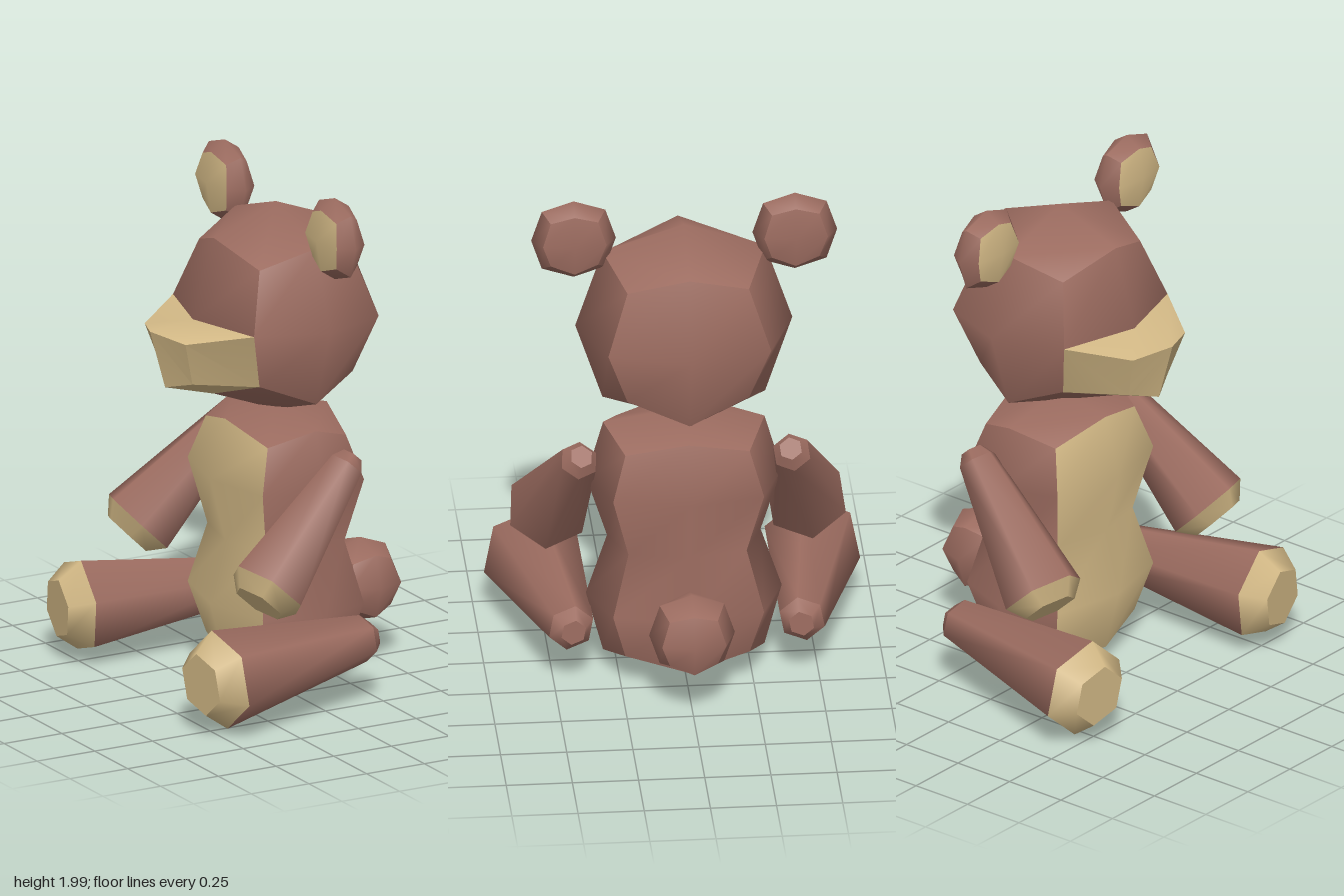
import * as THREE from 'three';
import { mergeGeometries, toCreasedNormals } from 'three/addons/utils/BufferGeometryUtils.js';

const brown = new THREE.MeshStandardMaterial({ color: 0x9c6c60 });
brown.name = 'brown fur';
const tan = new THREE.MeshStandardMaterial({ color: 0xd3b986 });
tan.name = 'tan fur';
const tanFront = [brown, tan, brown, brown, brown, brown]; // the -x side is tan

function add(parent, name, geometry, material) {
  const mesh = new THREE.Mesh(geometry, material);
  mesh.name = name;
  parent.add(mesh);
  return mesh;
}

// Box whose vertices are moved by a rule; the six sides stay separate, so box edges stay sharp
function shapedBox(ySegments, rule) {
  const geo = new THREE.BoxGeometry(2, 2, 2, 2, ySegments, 2);
  const pos = geo.attributes.position;
  for (let i = 0; i < pos.count; i++) {
    pos.setXYZ(i, ...rule(Math.round(pos.getX(i)), pos.getY(i), Math.round(pos.getZ(i))));
  }
  geo.computeVertexNormals();
  return geo;
}

// Low-poly ball: box corners and edge middles are pulled in
function ball(rx, ry, rz) {
  return shapedBox(2, (x, y, z) => {
    const k = [0, 1, 0.75, 0.56][Math.abs(x) + Math.abs(y) + Math.abs(z)];
    return [x * rx * k, y * ry * k, z * rz * k];
  });
}

// Hourglass torso
function torso() {
  const heights = [0, 0.33, 0.57, 0.82, 0];
  const widths = [[0.22, 0.305], [0.285, 0.37], [0.22, 0.29], [0.285, 0.37], [0.22, 0.305]];
  const bottom = [0.01, 0.085, 0.14];
  const top = [1.1, 1.05, 0.99];
  return shapedBox(4, (x, y, z) => {
    const level = Math.round((y + 1) * 2);
    const sides = Math.abs(x) + Math.abs(z);
    const k = sides === 2 ? 0.77 : 1;
    const h = level === 0 ? bottom[sides] : level === 4 ? top[sides] : heights[level];
    return [0.07 + x * widths[level][0] * k, h, z * widths[level][1] * k];
  });
}

// Muzzle drawn forward from the lower half of the face
function muzzle() {
  const ring = (c, e, k, b) => [
    [c[0], c[1], 0], [e[0], e[1], -e[2]], [k[0], k[1], -k[2]],
    [b[0], b[1], 0], k, e,
  ];
  const base = ring([-0.29, 1.465], [-0.2, 1.465, 0.308], [-0.132, 1.235, 0.23], [-0.2, 1.157]);
  const front = ring([-0.475, 1.445], [-0.41, 1.425, 0.155], [-0.357, 1.249, 0.115], [-0.41, 1.215]);
  const out = [];
  const quad = (a, b, c, d) => out.push(...a, ...b, ...c, ...a, ...c, ...d);
  quad(front[0], front[1], front[2], front[3]);
  quad(front[0], front[3], front[4], front[5]);
  for (let i = 0; i < 6; i++) {
    const j = (i + 1) % 6;
    quad(base[i], base[j], front[j], front[i]);
  }
  const geo = new THREE.BufferGeometry();
  geo.setAttribute('position', new THREE.Float32BufferAttribute(out, 3));
  return toCreasedNormals(geo, 0.65);
}

// Six-sided surface along a profile, sharp at every ring and at the two inner long edges
function hexSkin(profile, roll, side) {
  const parts = [];
  const innerStart = side > 0 ? (2 * Math.PI) / 3 : -Math.PI / 3;
  for (let i = 0; i + 1 < profile.length; i++) {
    const pair = [profile[i], profile[i + 1]].map(([r, y]) => new THREE.Vector2(r, y));
    parts.push(new THREE.LatheGeometry(pair, 2, innerStart + roll, (2 * Math.PI) / 3));
    parts.push(new THREE.LatheGeometry(pair, 4, innerStart + roll + (2 * Math.PI) / 3, (4 * Math.PI) / 3));
  }
  return mergeGeometries(parts);
}

// Tapered limb with a tan paw at its far end
function limb(name, from, to, radii, pawDepth, roll, side) {
  const a = new THREE.Vector3(from[0], from[1], from[2] * side);
  const b = new THREE.Vector3(to[0], to[1], to[2] * side);
  const length = a.distanceTo(b);
  const wrist = length - pawDepth;
  const [tip, small, big, pad] = radii;
  const group = new THREE.Group();
  group.name = name;
  add(group, name + 'Shaft', hexSkin([[0, 0], [tip, 0], [small, 0.045], [big, wrist]], roll * side, side), brown);
  add(group, name + 'Paw', hexSkin([[big, wrist], [pad, length], [0, length]], roll * side, side), tan);
  group.position.copy(a);
  group.quaternion.setFromUnitVectors(new THREE.Vector3(0, 1, 0), b.sub(a).normalize());
  return group;
}

export function createModel() {
  const bear = new THREE.Group();
  bear.name = 'toyBear';

  add(bear, 'body', torso(), tanFront);
  add(bear, 'head', ball(0.36, 0.41, 0.41), brown).position.set(0.07, 1.465, 0);
  add(bear, 'muzzle', muzzle(), tan);
  add(bear, 'tail', ball(0.145, 0.162, 0.162), brown).position.set(0.435, 0.328, 0);

  // Paired parts
  for (const side of [1, -1]) {
    const label = side > 0 ? 'left' : 'right';
    add(bear, label + 'Ear', ball(0.08, 0.16, 0.16), tanFront).position.set(0.087, 1.84, 0.418 * side);
    bear.add(limb(label + 'Arm', [0.175, 0.96, 0.395], [-0.29, 0.48, 0.5],
      [0.045, 0.075, 0.16, 0.105], 0.062, -0.05, side));
    bear.add(limb(label + 'Leg', [0.243, 0.25, 0.43], [-0.565, 0.215, 0.545],
      [0.05, 0.09, 0.19, 0.12], 0.088, -0.18, side));
  }
  return bear;
}
